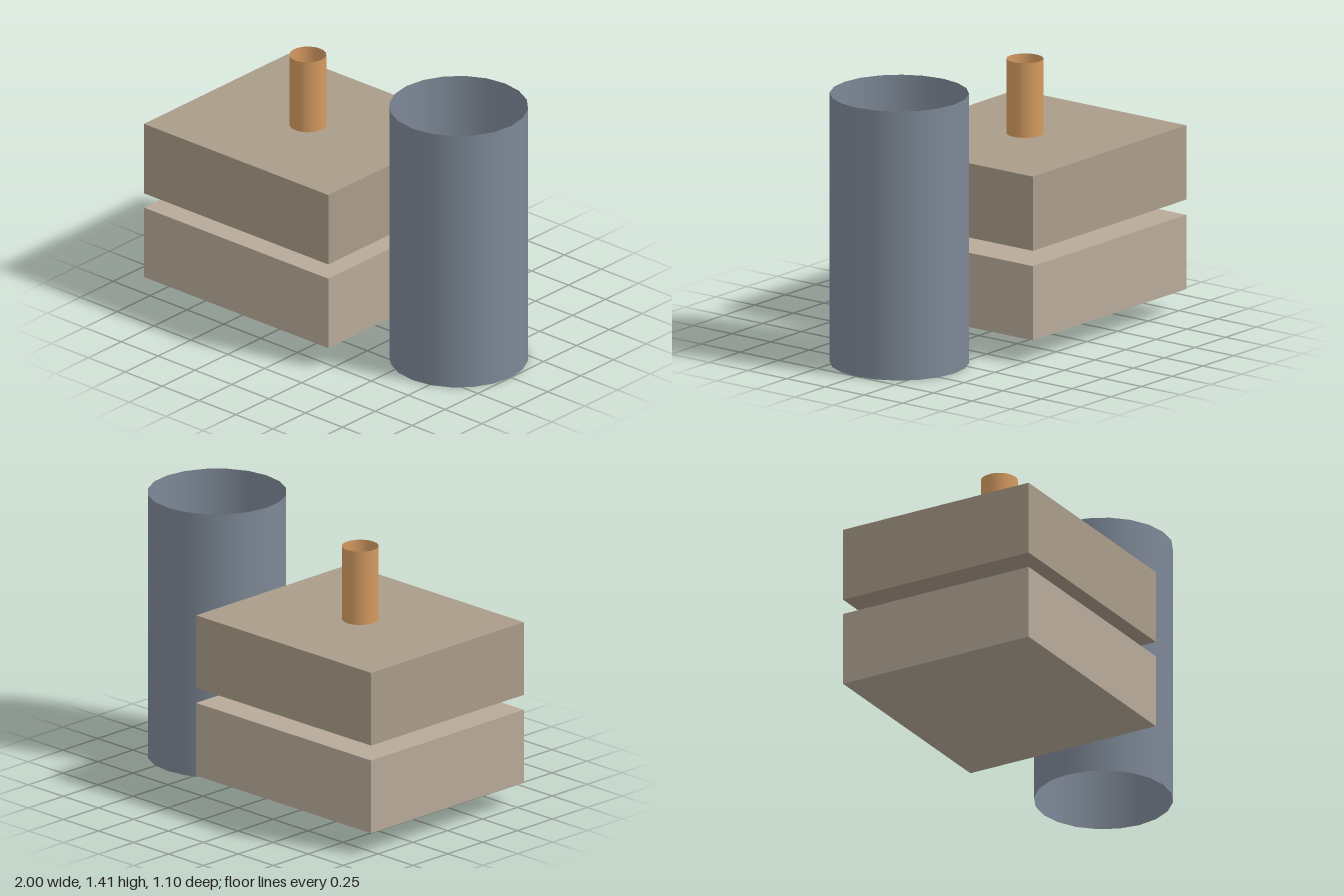
import * as THREE from 'three';

function add(group, name, geometry, color, position, side = THREE.FrontSide) {
  const mesh = new THREE.Mesh(geometry, new THREE.MeshStandardMaterial({ color, side }));
  mesh.name = name;
  mesh.position.set(...position);
  group.add(mesh);
}

// Thin smooth pipe, open at both ends
const pipe = (radius, height) => new THREE.CylinderGeometry(radius, radius, height, 20, 1, true);

export function createModel() {
  const group = new THREE.Group();

  // Two stacked slabs with a gap between them
  add(group, 'lowerBlock', new THREE.BoxGeometry(1.25, 0.39, 1.096), 0xb8aa9a, [-0.374, 0.317, 0]);
  add(group, 'upperBlock', new THREE.BoxGeometry(1.25, 0.39, 1.096), 0xaa9c8a, [-0.374, 0.787, 0]);

  // Short pipe standing on the upper slab
  add(group, 'smallPipe', pipe(0.094, 0.392), 0xd49a60, [-0.376, 1.178, 0], THREE.DoubleSide);

  // Tall pipe beside the slabs
  add(group, 'largePipe', pipe(0.353, 1.412), 0x7d8896, [0.647, 0.706, 0], THREE.DoubleSide);

  return group;
}
